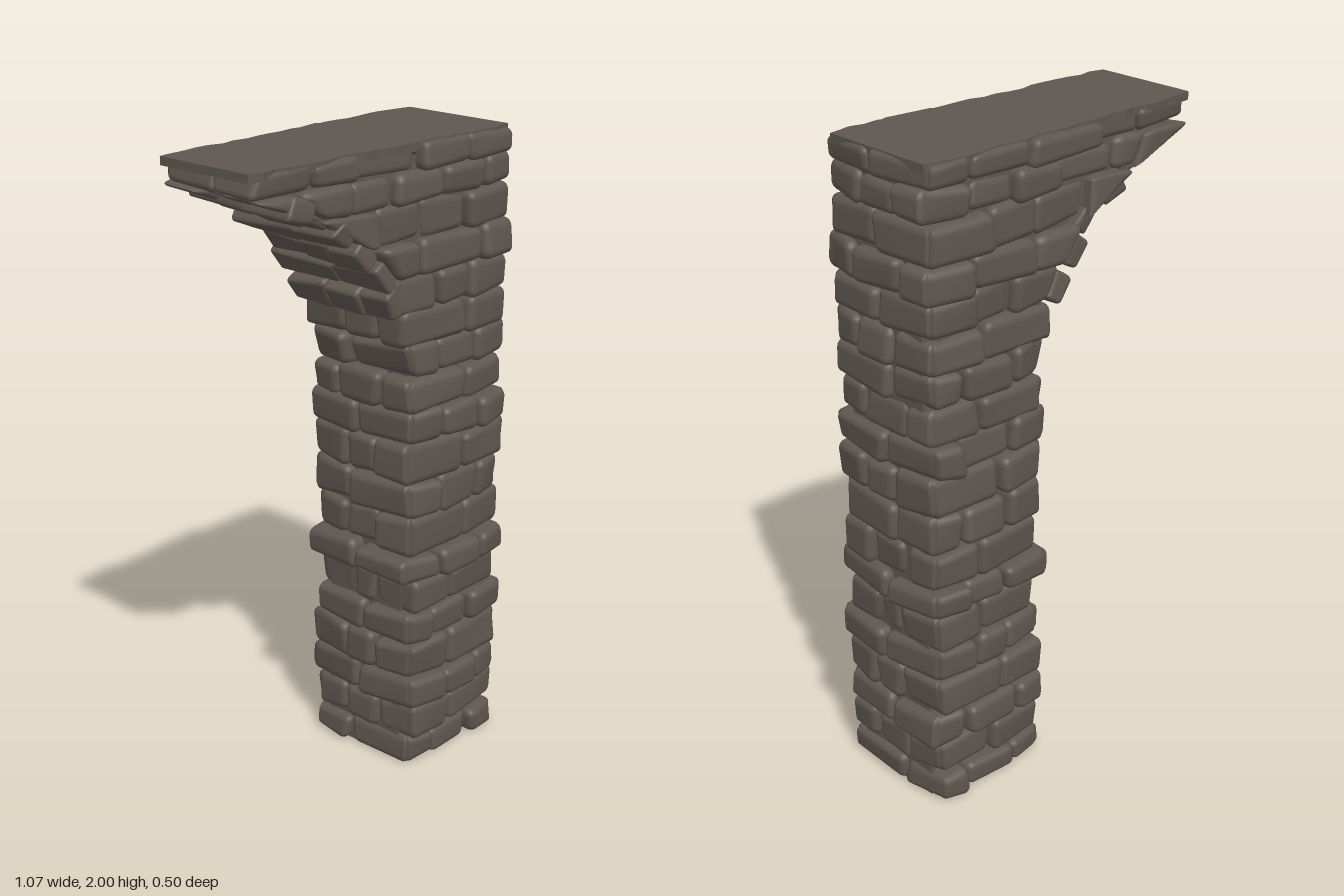
import * as THREE from 'three';
import { mergeVertices } from 'three/addons/utils/BufferGeometryUtils.js';
import { RoundedBoxGeometry } from 'three/addons/geometries/RoundedBoxGeometry.js';

let seed = 17;
const rand = () => {
  seed = (seed * 16807) % 2147483647;
  return seed / 2147483647;
};
const jit = (a) => (rand() * 2 - 1) * a;
const { lerp, clamp } = THREE.MathUtils;

// Left boundary of the masonry: straight pillar, then the springing half arch [y, x]
const ARCH = [[1.3, 0.09], [1.42, 0.055], [1.5, 0.05], [1.6, 0.01], [1.7, -0.06], [1.78, -0.16],
  [1.83, -0.27], [1.88, -0.4], [1.925, -0.535], [1.945, -0.54], [2, -0.5]];
function leftAt(y) {
  if (y <= ARCH[0][0]) return ARCH[0][1];
  const i = ARCH.findIndex(([top]) => y <= top);
  const [y0, x0] = ARCH[i - 1], [y1, x1] = ARCH[i];
  return lerp(x0, x1, (y - y0) / (y1 - y0));
}
// Half depth: the arm gets thinner towards its tip
const depthAt = (x) => lerp(0.178, 0.215, clamp((x + 0.5) / 0.7, 0, 1));

// Round the pillar's upright edges in plan
function roundEdges(p) {
  const r = 0.075;
  const dz = Math.abs(p.z) - 0.22 + r;
  const toRight = p.x > 0.3;
  const dx = toRight ? p.x - 0.525 + r : 0.075 + r - p.x;
  if (dx <= 0 || dz <= 0 || (!toRight && p.y > 1.4)) return;
  const k = lerp(1, Math.max(dx, dz) / Math.hypot(dx, dz), 0.9);
  p.x += (toRight ? 1 : -1) * dx * (k - 1);
  p.z += Math.sign(p.z) * dz * (k - 1);
}

// Worn stone: a rounded box warped into eight given corners (index = x + 2y + 4z)
function stone(corners, material, name, wobble) {
  const size = corners[7].clone().sub(corners[0]);
  const [w, h, d] = size.toArray().map((v) => Math.max(Math.abs(v), 0.04));
  let g = new RoundedBoxGeometry(w, h, d, 3, Math.min(0.026, w * 0.3, h * 0.3, d * 0.3));
  g.deleteAttribute('normal');
  g.deleteAttribute('uv');
  g = mergeVertices(g, 1e-5);
  const c = corners.map((v) => v.clone().add(new THREE.Vector3(jit(wobble), jit(wobble), jit(wobble))));
  const p = g.attributes.position;
  for (let i = 0; i < p.count; i++) {
    const u = p.getX(i) / w + 0.5, v = p.getY(i) / h + 0.5, t = p.getZ(i) / d + 0.5;
    const out = new THREE.Vector3();
    c.forEach((q, k) => out.addScaledVector(q,
      (k & 1 ? u : 1 - u) * (k & 2 ? v : 1 - v) * (k & 4 ? t : 1 - t)));
    roundEdges(out);
    p.setXYZ(i, out.x, clamp(out.y, 0, 1.993), out.z);
  }
  g.computeVertexNormals();
  const mesh = new THREE.Mesh(g, material);
  mesh.name = name;
  return mesh;
}

// Uneven joints between 0 and 1
function joints(n) {
  const list = [0];
  for (let i = 1; i < n; i++) list.push((i + jit(0.2)) / n);
  return [...list, 1];
}

export function createModel() {
  const model = new THREE.Group();
  model.name = 'ruinedArchPillar';
  const rock = new THREE.MeshStandardMaterial({ color: 0x5e5650 });
  rock.name = 'brown grey stone';

  // Mortar core behind the bricks, with cut upright edges
  const shape = new THREE.Shape();
  shape.moveTo(0.5, 0);
  for (const x of [0.5, 0.45, 0.15]) shape.lineTo(x, 1.97);
  for (const [y, x] of ARCH.slice(0, -2).reverse()) shape.lineTo(x + 0.035, y + 0.015);
  shape.lineTo(0.105, 0);
  const coreGeo = new THREE.ExtrudeGeometry(shape, { depth: 2, bevelEnabled: false });
  const cp = coreGeo.attributes.position;
  for (let i = 0; i < cp.count; i++) {
    const x = cp.getX(i);
    const cut = x > 0.48 || (x > 0.1 && cp.getY(i) < 1.4) ? 0.06 : 0.02;
    cp.setZ(i, (cp.getZ(i) - 1) * (depthAt(x) - cut));
  }
  coreGeo.computeVertexNormals();
  const core = new THREE.Mesh(coreGeo, rock);
  core.name = 'mortarCore';
  model.add(core);

  // Brick courses, alternating two and three stones around each side
  const levels = [0, 0.09, 0.2, 0.3, 0.42, 0.52, 0.635, 0.72, 0.84, 0.96, 1.08, 1.185, 1.29,
    1.395, 1.5, 1.61, 1.715, 1.83, 1.92, 1.995];
  const swell = [0.6, 0, 1.4, 0.7, 1.2, -0.5, 1.5, 0.2, 0.2, 1, 1.2, 0.3, 0.2, 0.3, -0.2, 1.5, 1, 1.2, 0.7];
  const bricks = new THREE.Group();
  bricks.name = 'brickCourses';
  model.add(bricks);

  for (let r = 0; r < swell.length; r++) {
    const y0 = levels[r], y1 = levels[r + 1];
    const out = swell[r] * 0.014;
    const pillar = y1 < 1.4;
    const left0 = leftAt(y0) - (pillar ? out : 0);
    const left1 = leftAt(y1) - (pillar ? out : 0);
    const right = 0.517 + out;
    const across = r % 2 ? 3 : 2;
    const along = Math.max(r % 2 ? 2 : 3, Math.round((right - left1) / 0.19));
    const zJoint = joints(across);
    for (let k = 0; k < across; k++) {
      const xJoint = joints(along);
      for (let i = 0; i < along; i++) {
        const inner = k > 0 && k < across - 1;
        if (inner && i > 0 && i < along - 1) continue;
        // Stones away from the corners are sometimes worn back
        const worn = i > 0 && i < along - 1 && rand() < 0.4 ? 0.025 : jit(0.012);
        const xPush = jit(0.012);
        const corners = [];
        for (let n = 0; n < 8; n++) {
          const left = n & 2 ? left1 : left0;
          const f = xJoint[i + (n & 1)];
          // Upright joints, clipped where they meet the underside of the arch
          let x = f === 0 ? left : Math.max(left, lerp(left1, right, f));
          if (f === 1 || (f === 0 && pillar)) x += xPush;
          const half = depthAt(x) + out - worn;
          const z = lerp(-half, half, zJoint[k + (n & 4 ? 1 : 0)]);
          corners.push(new THREE.Vector3(x, n & 2 ? y1 : y0, z));
        }
        bricks.add(stone(corners, rock, 'brick', 0.011));
      }
    }
  }

  // Separate tilted stones lining the underside of the arch: x, y, slope, length
  const lining = [[0.02, 1.535, -1.05, 0.09], [-0.03, 1.635, -0.9, 0.085], [-0.095, 1.71, -0.85, 0.085],
    [-0.185, 1.775, -0.55, 0.085], [-0.265, 1.84, -0.42, 0.08], [-0.355, 1.875, -0.35, 0.09]];
  const archStones = new THREE.Group();
  archStones.name = 'archLining';
  model.add(archStones);
  lining.forEach(([x, y, slope, len], i) => {
    const count = i % 2 ? 2 : 3;
    const half = depthAt(x) + (i % 2 ? 0.012 : -0.005);
    const zj = joints(count);
    for (let k = 0; k < count; k++) {
      const corners = [];
      for (let n = 0; n < 8; n++) {
        corners.push(new THREE.Vector3(n & 1 ? len / 2 : -len / 2, n & 2 ? 0.03 : -0.03, 0)
          .applyAxisAngle(new THREE.Vector3(0, 0, 1), slope)
          .add(new THREE.Vector3(x, y, lerp(-half, half, zj[k + (n & 4 ? 1 : 0)]))));
      }
      archStones.add(stone(corners, rock, 'archStone', 0.009));
    }
  });

  // Smooth flat top with a ragged outline and rounded right corners
  const outline = [];
  const steps = 22;
  for (const side of [1, -1]) {
    for (let i = 0; i <= steps; i++) {
      const f = side > 0 ? i / steps : 1 - i / steps;
      const p = new THREE.Vector3(lerp(-0.525, 0.525, f), 2, 0);
      p.z = side * (lerp(0.178, 0.212, f) + jit(0.008));
      roundEdges(p);
      outline.push(new THREE.Vector2(p.x, p.z));
    }
  }
  const topGeo = new THREE.ExtrudeGeometry(new THREE.Shape(outline), { depth: 0.025, bevelEnabled: false });
  topGeo.rotateX(-Math.PI / 2);
  topGeo.translate(0, 1.972, 0);
  const top = new THREE.Mesh(topGeo, rock);
  top.name = 'flatTop';
  model.add(top);

  return model;
}
